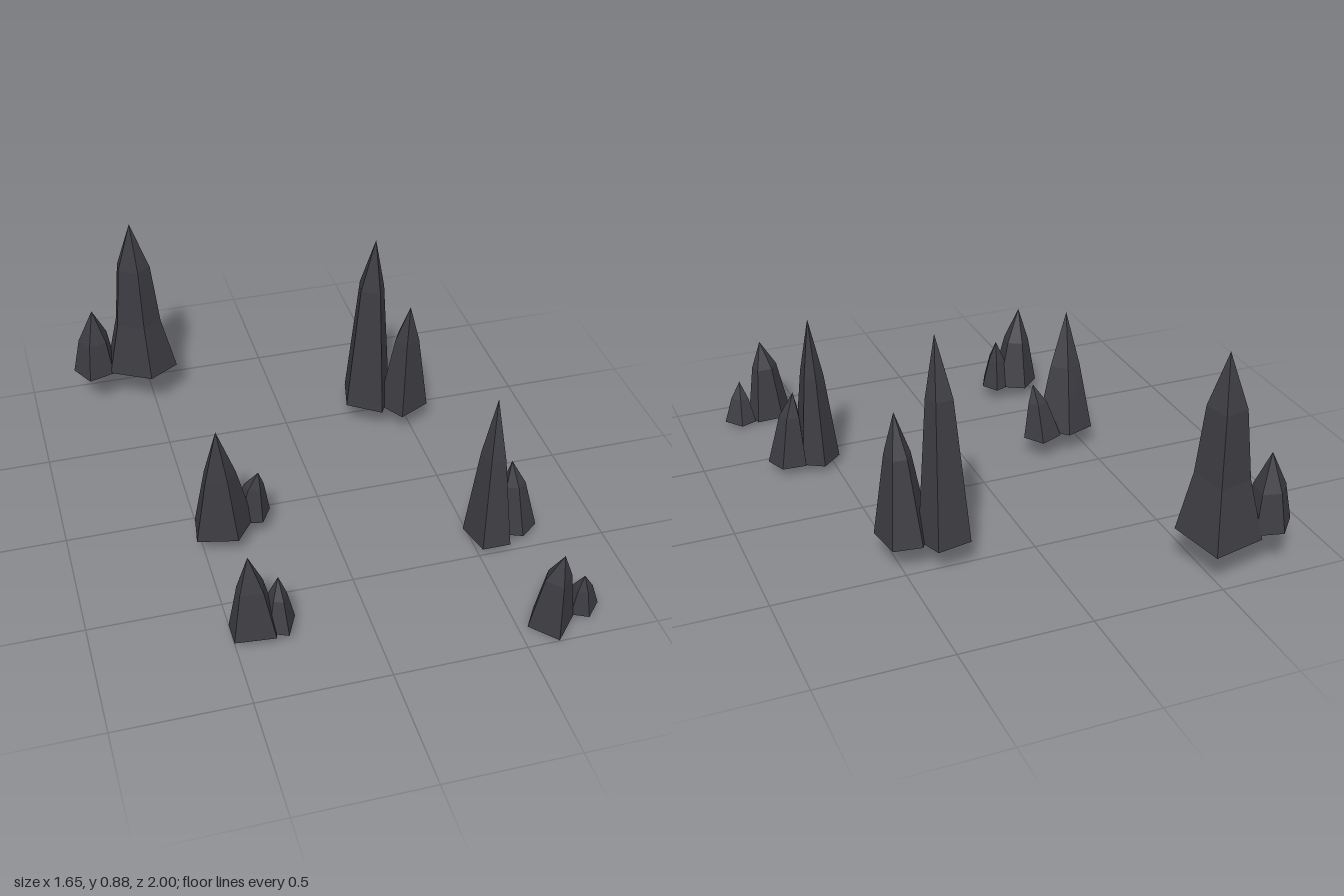
import * as THREE from 'three';

const rock = new THREE.MeshStandardMaterial({ color: 0x3d3c42, flatShading: true });
rock.name = 'dark stone';

// Faceted spire. foot: [x, z] corners clockwise from above; apex: [x, y, z].
// rings: [height fraction, width factor]; tilt: rise of the foot along x and z.
function spire(name, apex, baseY, foot, rings = [[0.67, 0.48]], tilt = [0, 0]) {
  const n = foot.length;
  const cx = foot.reduce((s, p) => s + p[0], 0) / n;
  const cz = foot.reduce((s, p) => s + p[1], 0) / n;
  const tip = new THREE.Vector3(...apex);
  const base = foot.map(([x, z]) =>
    new THREE.Vector3(x, baseY + (x - cx) * tilt[0] + (z - cz) * tilt[1], z));
  const loops = [base];
  for (const [t, s] of rings) {
    loops.push(base.map((p) => new THREE.Vector3(
      tip.x + (p.x - tip.x) * s,
      p.y + (tip.y - p.y) * t,
      tip.z + (p.z - tip.z) * s)));
  }
  const under = new THREE.Vector3(cx, baseY - 0.003, cz);
  const pts = [];
  const last = loops[loops.length - 1];
  for (let i = 0; i < n; i++) {
    const j = (i + 1) % n;
    pts.push(under, base[i], base[j]);
    for (let k = 0; k < loops.length - 1; k++) {
      const a = loops[k], b = loops[k + 1];
      pts.push(a[i], b[i], a[j], b[i], b[j], a[j]);
    }
    pts.push(last[i], tip, last[j]);
  }
  const geo = new THREE.BufferGeometry().setFromPoints(pts);
  geo.computeVertexNormals();
  const mesh = new THREE.Mesh(geo, rock);
  mesh.name = name;
  return mesh;
}

function cluster(name, ...spires) {
  const g = new THREE.Group();
  g.name = name;
  g.add(...spires);
  return g;
}

export function createModel() {
  const model = new THREE.Group();
  model.name = 'rockSpires';

  model.add(cluster('backRightCluster',
    spire('tallSpire', [-0.55, 0.855, -0.85], 0.163,
      [[-0.467, -1], [-0.4, -0.81], [-0.525, -0.71], [-0.68, -0.825], [-0.67, -0.96]],
      [[0.33, 0.64], [0.71, 0.46]], [0, 0.16]),
    spire('shortSpire', [-0.73, 0.45, -0.885], 0.165,
      [[-0.645, -0.955], [-0.667, -0.825], [-0.773, -0.79], [-0.826, -0.89], [-0.747, -0.98]],
      [[0.52, 0.68]])));

  model.add(cluster('backLeftCluster',
    spire('tallSpire', [0.35, 0.89, -0.415], 0.115,
      [[0.27, -0.55], [0.398, -0.56], [0.435, -0.45], [0.367, -0.325], [0.235, -0.4]],
      [[0.71, 0.52]], [-0.09, 0]),
    spire('shortSpire', [0.485, 0.59, -0.36], 0.108,
      [[0.435, -0.505], [0.545, -0.49], [0.567, -0.345], [0.44, -0.28], [0.37, -0.39]],
      [[0.67, 0.48]])));

  model.add(cluster('middleRightCluster',
    spire('tallSpire', [-0.44, 0.575, 0.215], 0.098,
      [[-0.515, 0.11], [-0.4, 0.07], [-0.3, 0.17], [-0.383, 0.28], [-0.535, 0.245]],
      [[0.55, 0.53]]),
    spire('shortSpire', [-0.275, 0.31, 0.16], 0.096,
      [[-0.277, 0.05], [-0.225, 0.125], [-0.27, 0.2], [-0.36, 0.18], [-0.37, 0.09]],
      [[0.67, 0.5]])));

  model.add(cluster('middleLeftCluster',
    spire('tallSpire', [0.575, 0.645, 0.385], 0.038,
      [[0.557, 0.3], [0.635, 0.345], [0.62, 0.505], [0.51, 0.505], [0.477, 0.37]],
      [[0.6, 0.52]]),
    spire('shortSpire', [0.65, 0.345, 0.385], 0.04,
      [[0.625, 0.33], [0.72, 0.335], [0.755, 0.42], [0.683, 0.475], [0.6, 0.44]],
      [[0.67, 0.52]])));

  model.add(cluster('frontRightCluster',
    spire('tallSpire', [-0.44, 0.39, 0.695], 0.06,
      [[-0.43, 0.59], [-0.335, 0.645], [-0.36, 0.775], [-0.51, 0.76], [-0.51, 0.665]],
      [[0.58, 0.56]]),
    spire('shortSpire', [-0.33, 0.26, 0.68], 0.06,
      [[-0.31, 0.615], [-0.27, 0.68], [-0.315, 0.775], [-0.38, 0.745], [-0.39, 0.645]],
      [[0.6, 0.52]])));

  model.add(cluster('frontLeftCluster',
    spire('tallSpire', [0.645, 0.33, 0.915], 0.008,
      [[0.59, 0.82], [0.695, 0.815], [0.715, 0.895], [0.62, 1], [0.535, 0.905]],
      [[0.67, 0.58]]),
    spire('shortSpire', [0.75, 0.18, 0.88], 0.015,
      [[0.77, 0.79], [0.825, 0.86], [0.765, 0.925], [0.705, 0.895], [0.705, 0.815]],
      [[0.6, 0.55]])));

  return model;
}
